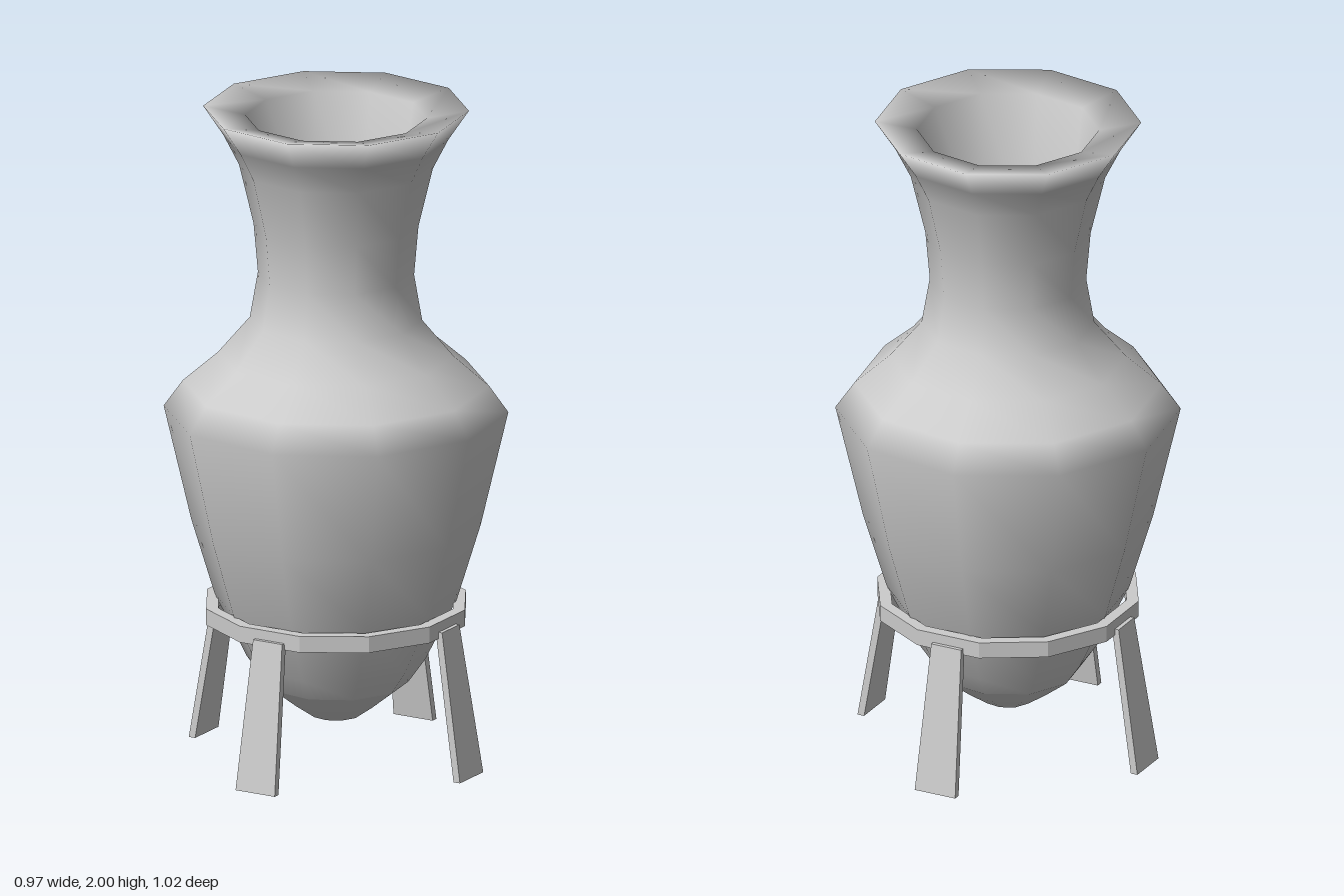
import * as THREE from 'three';

const SIDES = 10;

function lathe(name, profile, sides, flatShading) {
  const points = profile.map(([r, y]) => new THREE.Vector2(r, y));
  const material = new THREE.MeshStandardMaterial({ color: 0xcccccc, flatShading });
  const mesh = new THREE.Mesh(new THREE.LatheGeometry(points, sides), material);
  mesh.name = name;
  return mesh;
}

// Flat board, wider at the foot, leaning outward from the ring
function makeLeg() {
  const topY = 0.45, topR = 0.385, footR = 0.457;
  const geometry = new THREE.BoxGeometry(1, 1, 0.022);
  const p = geometry.attributes.position;
  for (let i = 0; i < p.count; i++) {
    const top = p.getY(i) > 0;
    p.setXYZ(i, p.getX(i) * (top ? 0.1 : 0.135), top ? topY : 0, p.getZ(i) + (top ? topR : footR));
  }
  geometry.computeVertexNormals();
  const leg = new THREE.Mesh(geometry, new THREE.MeshStandardMaterial({ color: 0xcccccc, flatShading: true }));
  leg.name = 'leg';
  return leg;
}

export function createModel() {
  const model = new THREE.Group();
  model.name = 'vaseOnStand';

  // Outer wall, rim and the narrowing inside wall
  model.add(lathe('vaseBody', [
    [0.215, 0.23], [0.265, 0.3], [0.36, 0.49], [0.43, 0.72], [0.512, 1.07],
    [0.455, 1.15], [0.35, 1.24], [0.256, 1.35], [0.232, 1.49], [0.245, 1.64],
    [0.288, 1.82], [0.334, 1.91], [0.395, 2], [0.27, 1.975], [0.21, 1.5], [0.08, 0.2],
  ], SIDES, false));

  // Faceted pointed base and the floor of the hollow
  model.add(lathe('vaseTip', [[0, 0.11], [0.075, 0.127], [0.14, 0.172], [0.215, 0.23]], SIDES, true));
  model.add(lathe('vaseFloor', [[0.08, 0.2], [0, 0.18]], SIDES, true));

  // Stand: a flat hoop on four splayed legs
  const stand = new THREE.Group();
  stand.name = 'stand';
  stand.add(lathe('standRing', [
    [0.36, 0.43], [0.397, 0.43], [0.397, 0.48], [0.36, 0.48], [0.36, 0.43],
  ], 12, true));
  for (let i = 0; i < 4; i++) {
    const leg = makeLeg();
    leg.rotation.y = Math.PI / 4 + i * Math.PI / 2;
    stand.add(leg);
  }
  model.add(stand);
  return model;
}
